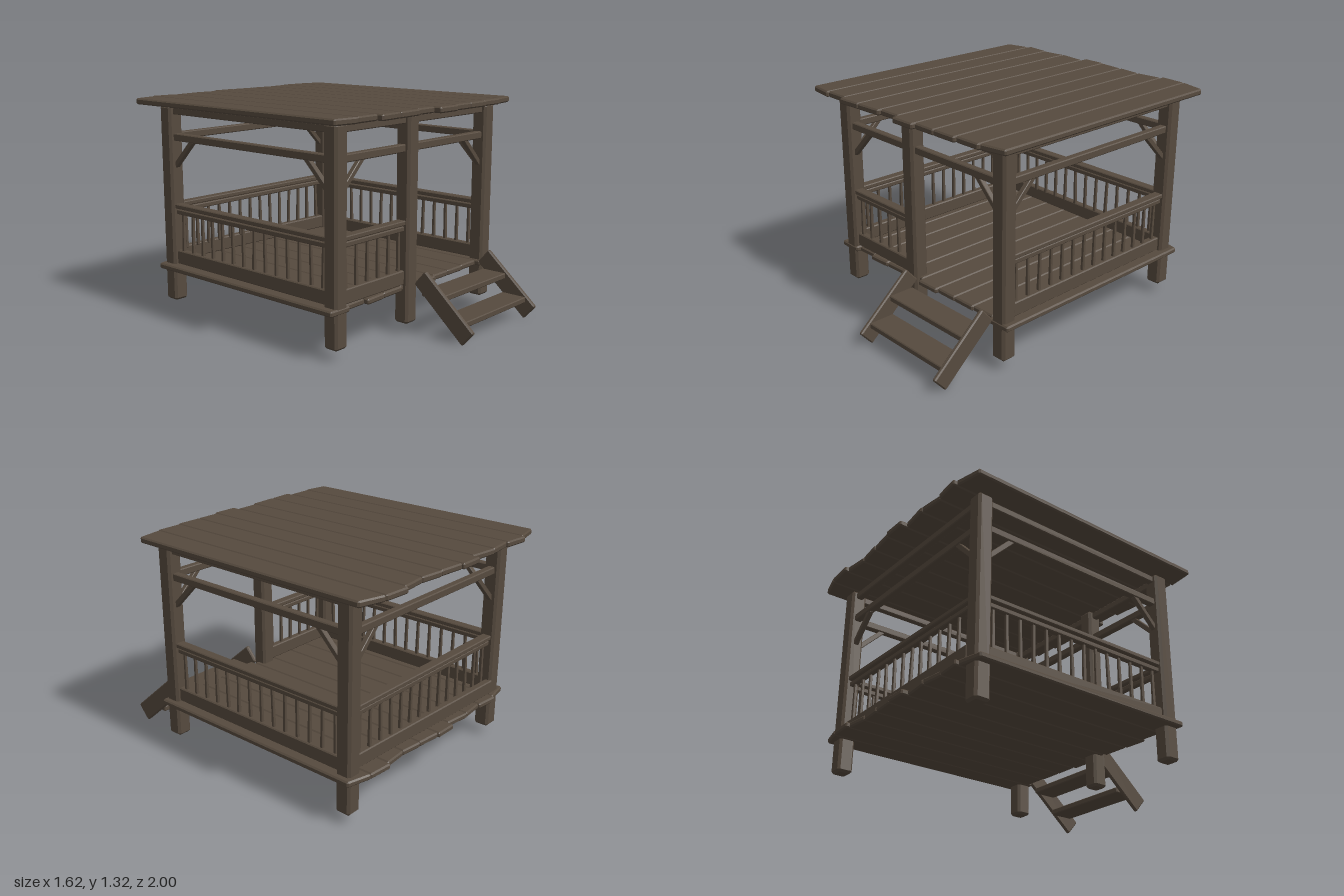
import * as THREE from 'three';
import { ConvexGeometry } from 'three/addons/geometries/ConvexGeometry.js';

const wood = new THREE.MeshStandardMaterial({ color: 0x564a3e });
wood.name = 'dark weathered wood';

// the 24 corner points of a box with chamfered edges
function chamferPoints(w, h, d, c) {
  const pts = [];
  for (const sx of [-1, 1]) for (const sy of [-1, 1]) for (const sz of [-1, 1]) {
    for (let face = 0; face < 3; face++) {
      pts.push(new THREE.Vector3(
        sx * (w / 2 - (face === 0 ? 0 : c)),
        sy * (h / 2 - (face === 1 ? 0 : c)),
        sz * (d / 2 - (face === 2 ? 0 : c))));
    }
  }
  return pts;
}

function part(parent, name, geometry, x = 0, y = 0, z = 0) {
  const mesh = new THREE.Mesh(geometry, wood);
  mesh.name = name;
  mesh.position.set(x, y, z);
  parent.add(mesh);
  return mesh;
}

function timber(parent, name, size, pos, c = 0.005) {
  return part(parent, name, new ConvexGeometry(chamferPoints(...size, c)), ...pos);
}

function group(parent, name) {
  const g = new THREE.Group();
  g.name = name;
  parent.add(g);
  return g;
}

// row of planks; each has skewed ends: [backLeft, backRight, frontLeft, frontRight]
function planks(parent, name, edges, ends, y, h) {
  const g = group(parent, name);
  ends.forEach(([bl, br, fl, fr], i) => {
    const w = edges[i + 1] - edges[i];
    const pts = chamferPoints(w, h, 1, 0.008);
    for (const p of pts) {
      const t = p.x / w + 0.5;
      const back = bl + (br - bl) * t, front = fl + (fr - fl) * t;
      p.z = p.z < 0 ? back + (p.z + 0.5) : front + (p.z - 0.5);
    }
    part(g, 'plank', new ConvexGeometry(pts), (edges[i] + edges[i + 1]) / 2, y, 0);
  });
}

// repeatable small variation
let seed = 7;
function vary(amount) {
  seed = (seed * 16807) % 2147483647;
  return (seed / 2147483647 - 0.5) * 2 * amount;
}

// wall frame between two post centres, local x runs along the wall
function wallFrame(parent, name, a, b) {
  const g = group(parent, name);
  g.position.set(a[0], 0, a[1]);
  g.rotation.y = -Math.atan2(b[1] - a[1], b[0] - a[0]);
  return [g, Math.hypot(b[0] - a[0], b[1] - a[1])];
}

function upperBeams(parent, name, a, b) {
  const [g, L] = wallFrame(parent, name, a, b);
  timber(g, 'topBeam', [L - 0.06, 0.042, 0.042], [L / 2, 1.257, 0]);
  timber(g, 'crossBeam', [L - 0.06, 0.044, 0.044], [L / 2, 1.099, 0]);
  for (const s of [1, -1]) {
    const x = s > 0 ? 0.122 : L - 0.122;
    timber(g, 'cornerBrace', [0.235, 0.03, 0.03], [x, 1.004, 0], 0.003).rotation.z = s * Math.PI / 4;
  }
}

function railing(parent, name, a, b, count) {
  const [g, L] = wallFrame(parent, name, a, b);
  timber(g, 'handrail', [L - 0.06, 0.028, 0.06], [L / 2, 0.674, 0]);
  timber(g, 'lowerRail', [L - 0.06, 0.03, 0.036], [L / 2, 0.638, 0]);
  const base = timber(g, 'baseBoard', [L - 0.06, 0.085, 0.045], [L / 2, 0.353, 0], 0.006);
  const step = 0.0902, start = (L - (count - 1) * step) / 2;
  for (let i = 0; i < count; i++) {
    const pts = chamferPoints(0.02, 0.25, 0.02, 0.003);
    for (const p of pts) if (p.y > 0) { p.x *= 0.8; p.z *= 0.8; }
    const bar = part(g, 'baluster', new ConvexGeometry(pts), start + i * step, 0.51, 0);
    bar.rotation.set(vary(0.02), 0, vary(0.02));
  }
  return base;
}

export function createModel() {
  const model = new THREE.Group();
  model.name = 'woodenPavilion';

  // posts
  const xL = 0.692, xM = -0.055, xR = -0.655, zF = 0.548, zB = -0.799;
  const posts = group(model, 'posts');
  for (const [x, z] of [[xL, zF], [xM, zF], [xR, zF], [xL, zB], [xR, zB]]) {
    timber(posts, 'post', [0.096, 1.212, 0.096], [x, 0.682, z], 0.014);
  }

  // roof boards
  const edges = [-0.812, -0.65, -0.49, -0.33, -0.15, 0.003, 0.17, 0.322, 0.484, 0.65, 0.81];
  planks(model, 'roof', edges, [
    [-0.93, -0.963, 0.688, 0.709], [-0.984, -0.968, 0.698, 0.696],
    [-0.958, -0.974, 0.728, 0.718], [-0.979, -0.958, 0.72, 0.71],
    [-1, -1, 0.692, 0.69], [-0.99, -0.974, 0.732, 0.73],
    [-0.98, -0.963, 0.71, 0.71], [-0.963, -0.979, 0.709, 0.708],
    [-1, -0.99, 0.695, 0.693], [-0.99, -0.947, 0.683, 0.656],
  ], 1.313, 0.036);

  // deck boards
  planks(model, 'deck', edges.map((x) => x * 0.936 + 0.015), [
    [-0.85, -0.88, 0.6, 0.6], [-0.898, -0.885, 0.575, 0.57],
    [-0.875, -0.89, 0.598, 0.59], [-0.893, -0.875, 0.585, 0.58],
    [-0.912, -0.912, 0.565, 0.565], [-0.903, -0.89, 0.598, 0.596],
    [-0.893, -0.88, 0.58, 0.58], [-0.88, -0.893, 0.578, 0.578],
    [-0.912, -0.903, 0.57, 0.568], [-0.903, -0.866, 0.6, 0.6],
  ], 0.294, 0.034);

  // beams and braces on all four sides
  upperBeams(model, 'frontBeams', [xR, zF], [xL, zF]);
  upperBeams(model, 'backBeams', [xR, zB], [xL, zB]);
  upperBeams(model, 'leftBeams', [xL, zF], [xL, zB]);
  upperBeams(model, 'rightBeams', [xR, zF], [xR, zB]);

  // railings, leaving the entrance open
  railing(model, 'frontRailing', [xR, zF], [xM, zF], 6);
  railing(model, 'leftRailing', [xL, zF], [xL, zB], 14);
  railing(model, 'rightRailing', [xR, zF], [xR, zB], 14);
  const backBase = railing(model, 'backRailing', [xR, zB], [xL, zB], 14);
  backBase.rotation.y = -0.03;
  backBase.position.z = -0.012;

  // steps at the entrance
  const steps = group(model, 'steps');
  for (const x of [-0.015, 0.636]) {
    timber(steps, 'stringer', [0.027, 0.117, 0.452], [x, 0.2, 0.794], 0.007).rotation.x = 0.715;
  }
  timber(steps, 'upperTread', [0.63, 0.035, 0.165], [0.31, 0.25, 0.708]);
  timber(steps, 'lowerTread', [0.63, 0.035, 0.165], [0.31, 0.128, 0.855]);

  return model;
}
